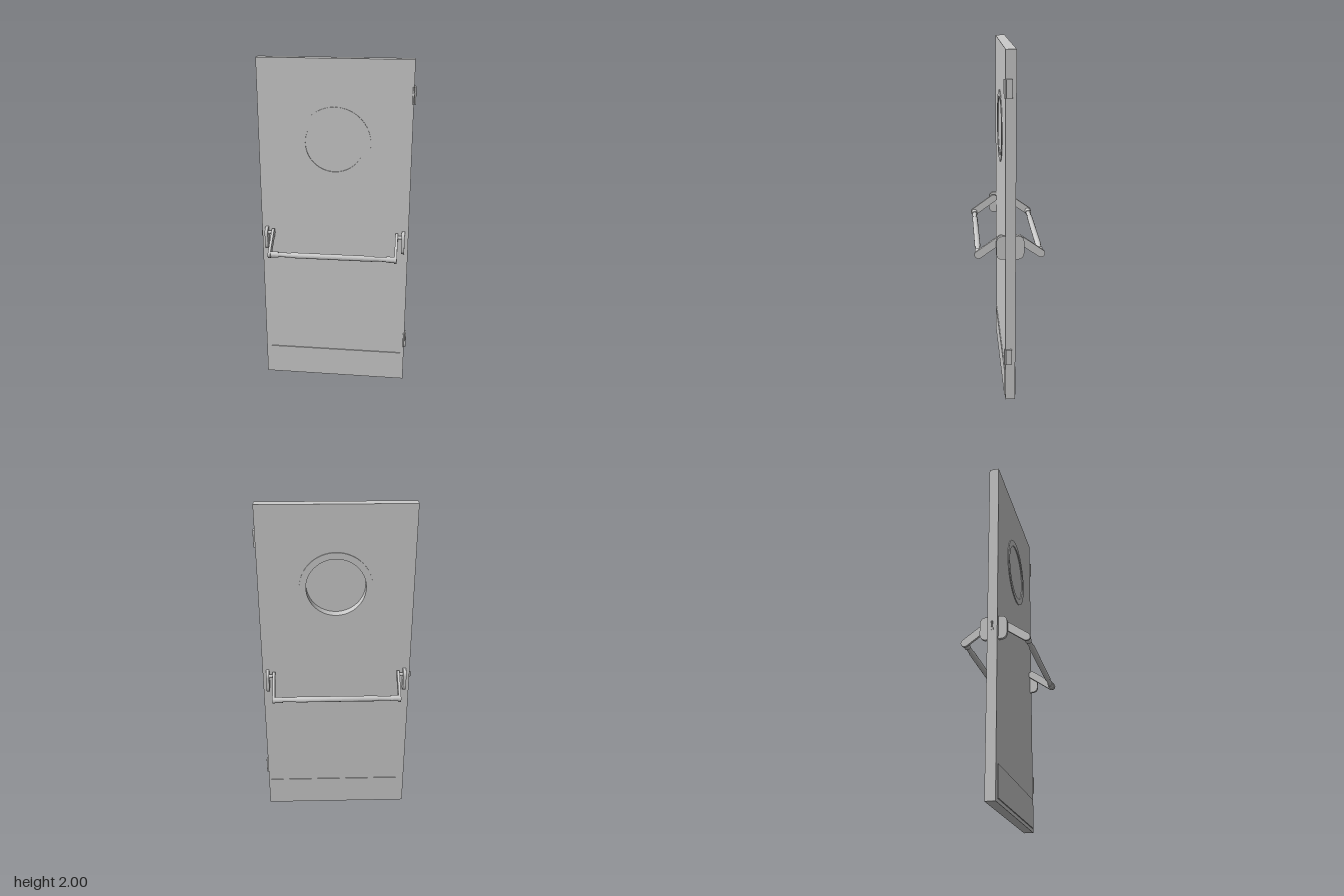
import * as THREE from 'three';
import { toCreasedNormals } from 'three/addons/utils/BufferGeometryUtils.js';
import { RoundedBoxGeometry } from 'three/addons/geometries/RoundedBoxGeometry.js';

const grey = new THREE.MeshStandardMaterial({ color: 0xcccccc });

function add(parent, name, geometry, x = 0, y = 0, z = 0) {
  const mesh = new THREE.Mesh(geometry, grey);
  mesh.name = name;
  mesh.position.set(x, y, z);
  parent.add(mesh);
  return mesh;
}

const extrude = (shape, depth) => toCreasedNormals(
  new THREE.ExtrudeGeometry(shape, { depth, bevelEnabled: false, curveSegments: 32 }), 0.6);

// Profile drawn in (z, y), given a thickness centred along x
const sideProfile = (shape, thickness) =>
  extrude(shape, thickness).translate(0, 0, -thickness / 2).rotateY(-Math.PI / 2);

const circleHole = (radius) => new THREE.Path().absarc(0, 0, radius, 0, Math.PI * 2, true);

const BACK = -0.03, FRONT = 0.026, WINDOW_Y = 1.53;

function buildSlab(door) {
  const shape = new THREE.Shape();
  shape.moveTo(-0.437, -WINDOW_Y);
  shape.lineTo(0.435, -WINDOW_Y);
  shape.lineTo(0.435, 2 - WINDOW_Y);
  shape.lineTo(-0.437, 2 - WINDOW_Y);
  shape.closePath();
  shape.holes.push(circleHole(0.168));
  add(door, 'doorSlab', extrude(shape, FRONT - BACK), 0, WINDOW_Y, BACK);
}

function buildWindow(door) {
  const ring = new THREE.Shape().absarc(0, 0, 0.205, 0, Math.PI * 2, false);
  ring.holes.push(circleHole(0.168));
  add(door, 'windowRingFront', extrude(ring, 0.005), 0, WINDOW_Y, FRONT);
  add(door, 'windowRingBack', extrude(ring, 0.006), 0, WINDOW_Y, BACK - 0.006);
  // Pane sits close to the front face, leaving a deep recess behind
  const pane = new THREE.CylinderGeometry(0.169, 0.169, 0.008, 64).rotateX(Math.PI / 2);
  add(door, 'windowPane', pane, 0, WINDOW_Y, 0.021);
}

// Rounded backplates, angled arms and a stepped crossbar for one face
function buildPushBar() {
  const bar = new THREE.Group();
  const barY = 0.89, barZ = 0.173, pivotY = 0.98, pivotZ = 0.048;

  const plate = new THREE.Shape();
  plate.moveTo(0.024, 0.875);
  plate.lineTo(0.042, 0.875);
  plate.bezierCurveTo(0.064, 0.875, 0.076, 0.89, 0.076, 0.912);
  plate.lineTo(0.076, 0.973);
  plate.bezierCurveTo(0.076, 0.995, 0.064, 1.01, 0.042, 1.01);
  plate.lineTo(0.024, 1.01);
  plate.closePath();

  const armLength = Math.hypot(barZ - pivotZ, barY - pivotY);
  const arm = new THREE.Shape();
  arm.absarc(0, 0, 0.022, Math.PI / 2, Math.PI * 1.5, false);
  arm.absarc(armLength, 0, 0.022, -Math.PI / 2, Math.PI / 2, false);
  arm.closePath();
  const armAngle = Math.atan2(barY - pivotY, barZ - pivotZ);

  for (const [side, s] of [['left', 1], ['right', -1]]) {
    add(bar, side + 'BackPlate', sideProfile(plate, 0.018), s * 0.405);
    const armMesh = add(bar, side + 'Arm', sideProfile(arm, 0.015), s * 0.367, pivotY, pivotZ);
    armMesh.rotation.x = -armAngle;
    const pin = new THREE.CylinderGeometry(0.011, 0.011, 0.04, 20).rotateZ(Math.PI / 2);
    add(bar, side + 'PivotPin', pin, s * 0.385, pivotY, pivotZ + 0.004);
  }

  // Stepped radii from one end to the other: collar, neck, grip, neck, collar
  const half = [[0, 0.362], [0.0175, 0.362], [0.0175, 0.315], [0.0135, 0.315],
    [0.0135, 0.245], [0.0165, 0.235]];
  const points = [...half.map(([r, x]) => [r, -x]), ...half.slice().reverse()]
    .map(([r, x]) => new THREE.Vector2(r, x));
  const rod = toCreasedNormals(new THREE.LatheGeometry(points, 24), 0.4).rotateZ(Math.PI / 2);
  add(bar, 'crossBar', rod, 0, barY, barZ);
  return bar;
}

export function createModel() {
  const door = new THREE.Group();
  door.name = 'door';
  buildSlab(door);
  buildWindow(door);

  // Kick plates
  add(door, 'kickPlateFront', new THREE.BoxGeometry(0.82, 0.17, 0.008), 0.005, 0.105, FRONT + 0.002);
  add(door, 'kickPlateBack', new THREE.BoxGeometry(0.83, 0.17, 0.008), 0.005, 0.105, BACK);

  // Push bars on both faces
  for (const [name, turn] of [['pushBarFront', 0], ['pushBarBack', Math.PI]]) {
    const bar = buildPushBar();
    bar.name = name;
    bar.rotation.y = turn;
    bar.position.z = -0.002;
    door.add(bar);
  }

  // Hinges: a leaf on the edge and a knuckle at the front corner
  for (const [name, y] of [['upperHinge', 1.807], ['lowerHinge', 0.283]]) {
    const hinge = new THREE.Group();
    hinge.name = name;
    hinge.position.y = y;
    add(hinge, 'hingeLeaf', new RoundedBoxGeometry(0.014, 0.096, 0.034, 2, 0.002), 0.439, 0, 0.007);
    add(hinge, 'hingeKnuckle', new THREE.CylinderGeometry(0.005, 0.005, 0.096, 16), 0.432, 0, 0.03);
    door.add(hinge);
  }

  // Latch on the opposite edge
  add(door, 'latchPlate', new THREE.BoxGeometry(0.006, 0.066, 0.014), -0.438, 0.953, -0.002);
  add(door, 'latchBolt', new RoundedBoxGeometry(0.016, 0.036, 0.008, 2, 0.003), -0.44, 0.953, -0.002);
  return door;
}
